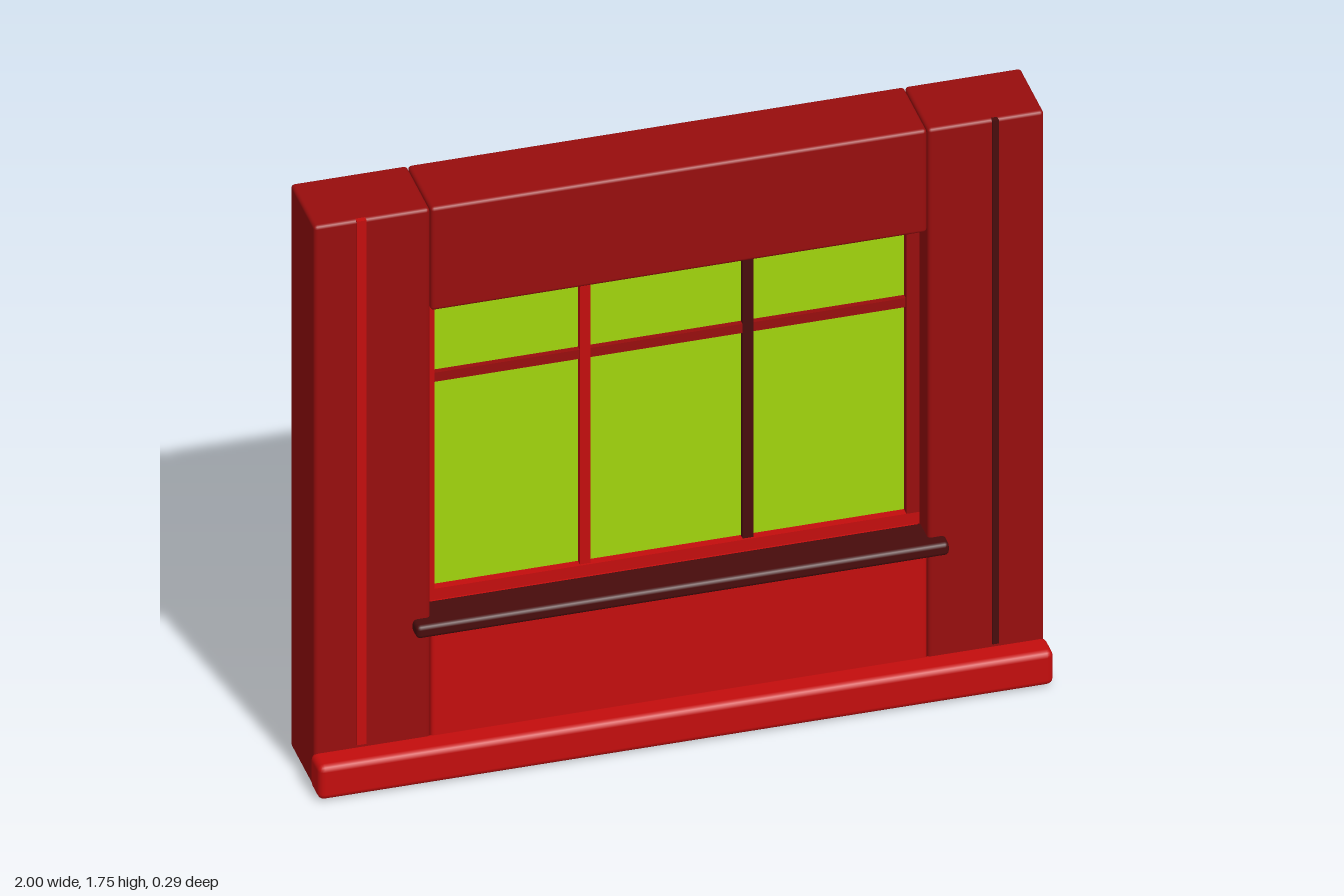
import * as THREE from 'three';
import { RoundedBoxGeometry } from 'three/addons/geometries/RoundedBoxGeometry.js';

function material(name, color) {
  const m = new THREE.MeshStandardMaterial({ color });
  m.name = name;
  return m;
}

export function createModel() {
  const brightRed = material('bright red', 0xc40d0d);
  const deepRed = material('deep red', 0x980d0d);
  const darkMaroon = material('dark maroon', 0x480c0c);
  const green = material('lime green', 0xa2d60c);

  const model = new THREE.Group();
  model.name = 'windowWall';

  // Box given by its limits on each axis, with softened edges of the given radius
  function block(name, mat, [x0, x1], [y0, y1], [z0, z1], radius = 0) {
    const size = [x1 - x0, y1 - y0, z1 - z0];
    const geometry = radius
      ? new RoundedBoxGeometry(...size, 2, radius)
      : new THREE.BoxGeometry(...size);
    const mesh = new THREE.Mesh(geometry, mat);
    mesh.name = name;
    mesh.position.set((x0 + x1) / 2, (y0 + y1) / 2, (z0 + z1) / 2);
    model.add(mesh);
  }

  // Wall: two posts, with panels above and below the opening
  const wallZ = [-0.145, 0.075];
  block('rightPost', deepRed, [-0.993, -0.677], [0, 1.75], wallZ, 0.01);
  block('leftPost', deepRed, [0.677, 0.993], [0, 1.75], wallZ, 0.01);
  block('upperPanel', deepRed, [-0.675, 0.675], [1.43, 1.75], wallZ, 0.01);
  block('lowerPanel', brightRed, [-0.675, 0.675], [0, 0.477], wallZ, 0.01);

  // Skirting board and window sill
  block('skirtingBoard', brightRed, [-1, 1], [0.005, 0.11], [0.06, 0.145], 0.018);
  block('windowSill', darkMaroon, [-0.725, 0.725], [0.44, 0.479], [-0.005, 0.115], 0.012);

  // Narrow strips on the front of the posts
  block('rightPostStrip', brightRed, [-0.878, -0.852], [0.12, 1.75], [0.06, 0.081]);
  block('leftPostStrip', darkMaroon, [0.851, 0.868], [0.12, 1.75], [0.06, 0.081]);

  // Window frame
  const frameZ = [-0.06, -0.005];
  block('frameTop', brightRed, [-0.678, 0.678], [1.397, 1.432], frameZ);
  block('frameBottom', brightRed, [-0.678, 0.678], [0.475, 0.511], frameZ);
  block('frameRight', brightRed, [-0.678, -0.642], [0.511, 1.397], frameZ);
  block('frameLeft', deepRed, [0.642, 0.678], [0.511, 1.397], frameZ);

  // Glazing bars
  block('transom', deepRed, [-0.642, 0.642], [1.15, 1.178], [-0.052, -0.013]);
  block('rightMullion', brightRed, [-0.245, -0.216], [0.511, 1.397], [-0.054, -0.011]);
  block('leftMullion', darkMaroon, [0.198, 0.227], [0.511, 1.397], [-0.054, -0.011]);

  // Window pane
  block('pane', green, [-0.65, 0.65], [0.5, 1.405], [-0.036, -0.029]);

  return model;
}
